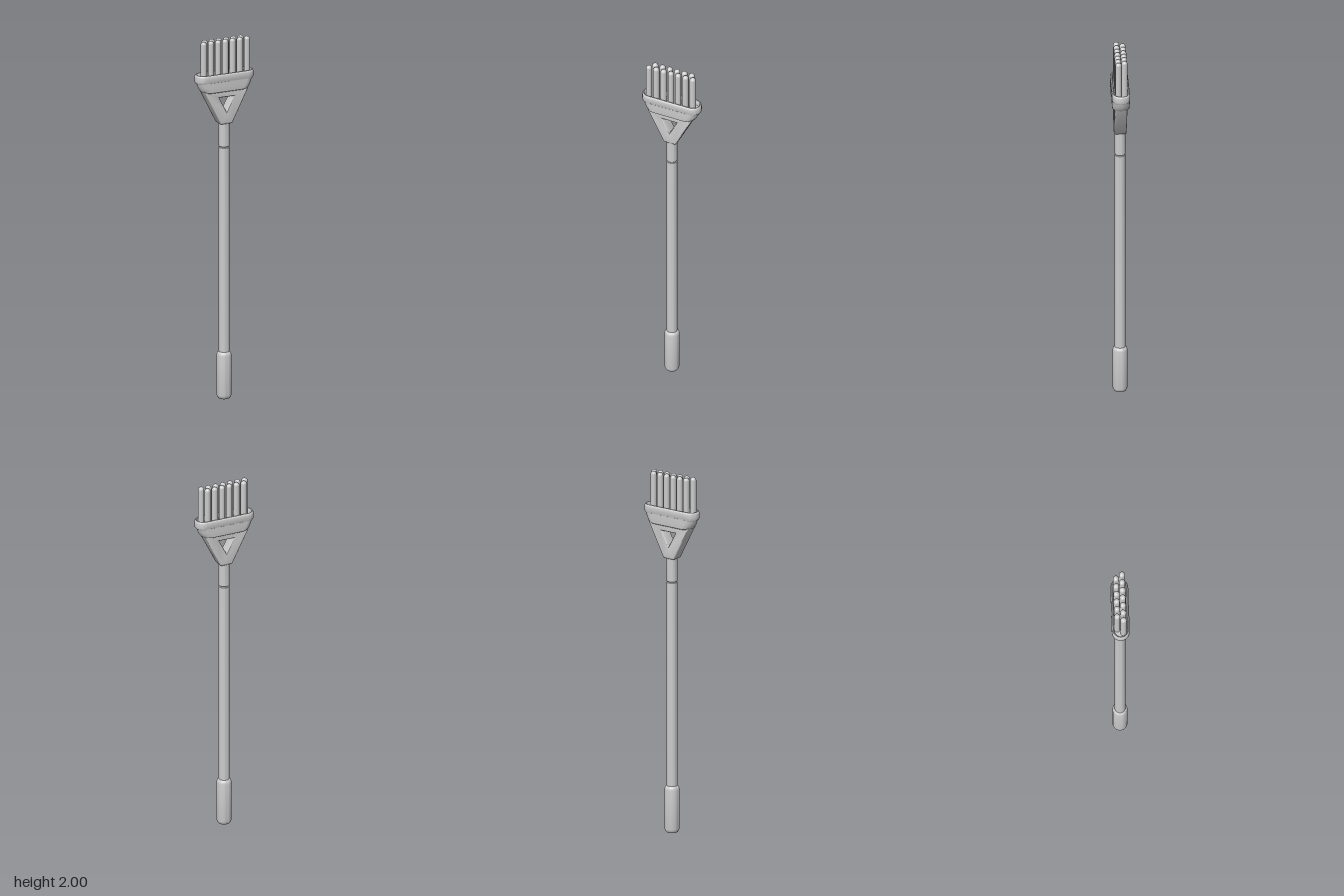
import * as THREE from 'three';
import { toCreasedNormals } from 'three/addons/utils/BufferGeometryUtils.js';

const material = new THREE.MeshStandardMaterial({ color: 0xcccccc });

function addMesh(parent, name, geometry) {
  const mesh = new THREE.Mesh(geometry, material);
  mesh.name = name;
  parent.add(mesh);
  return mesh;
}

// Turned part from [radius, height] pairs, listed bottom to top
function turned(points, segments = 32) {
  const profile = points.map(([r, y]) => new THREE.Vector2(r, y));
  return toCreasedNormals(new THREE.LatheGeometry(profile, segments), 0.6);
}

// Skin through stadium-shaped rings [halfWidth, halfDepth, y], capped at both ends
function stadiumLoft(rings, arcSteps = 14) {
  const positions = [], index = [];
  const n = 2 * (arcSteps + 1);
  for (const [w, d, y] of rings) {
    for (let k = 0; k < n; k++) {
      const side = k <= arcSteps ? 1 : -1;
      const a = ((k % (arcSteps + 1)) / arcSteps - 0.5) * Math.PI;
      positions.push(side * (w - d + d * Math.cos(a)), y, side * d * Math.sin(a));
    }
  }
  for (let i = 0; i < rings.length - 1; i++) {
    for (let k = 0; k < n; k++) {
      const a = i * n + k, b = i * n + (k + 1) % n;
      index.push(a, a + n, b, b, a + n, b + n);
    }
  }
  const last = (rings.length - 1) * n;
  for (let k = 1; k < n - 1; k++) {
    index.push(0, k, k + 1);
    index.push(last, last + k + 1, last + k);
  }
  const geometry = new THREE.BufferGeometry();
  geometry.setAttribute('position', new THREE.Float32BufferAttribute(positions, 3));
  geometry.setIndex(index);
  return toCreasedNormals(geometry, 0.6);
}

export function createModel() {
  const group = new THREE.Group();
  group.name = 'brush';

  // Grip with rounded ends and a shallow recess underneath
  addMesh(group, 'grip', turned([
    [0, 0.02], [0.02, 0.02], [0.022, 0.004], [0.026, 0], [0.032, 0.003], [0.038, 0.012], [0.04, 0.022],
    [0.04, 0.24], [0.038, 0.251], [0.034, 0.258], [0.028, 0.262], [0, 0.262],
  ]));

  // Shaft, and the socket joined to it at a fine groove
  addMesh(group, 'shaft', turned([[0, 0.25], [0.029, 0.25], [0.029, 1.396], [0.026, 1.4], [0, 1.4]]));
  addMesh(group, 'socket', turned([[0, 1.4], [0.026, 1.4], [0.029, 1.404], [0.029, 1.545], [0, 1.545]]));

  // Triangular neck with a triangular window
  const outline = new THREE.Shape();
  outline.moveTo(-0.026, 1.53);
  outline.lineTo(0.026, 1.53);
  outline.quadraticCurveTo(0.034, 1.53, 0.039, 1.539);
  outline.lineTo(0.135, 1.725);
  outline.lineTo(-0.135, 1.725);
  outline.lineTo(-0.039, 1.539);
  outline.quadraticCurveTo(-0.034, 1.53, -0.026, 1.53);
  const windowHole = new THREE.Path();
  windowHole.moveTo(0, 1.6);
  windowHole.lineTo(-0.043, 1.681);
  windowHole.lineTo(0.043, 1.681);
  windowHole.closePath();
  outline.holes.push(windowHole);
  const bevel = 0.01;
  const neck = new THREE.ExtrudeGeometry(outline, {
    depth: 0.068 - 2 * bevel, curveSegments: 6,
    bevelEnabled: true, bevelSize: bevel, bevelThickness: bevel, bevelOffset: -bevel, bevelSegments: 3,
  });
  neck.translate(0, 0, -0.034 + bevel);
  addMesh(group, 'neck', toCreasedNormals(neck, 0.6));

  // Flared lower part of the head
  addMesh(group, 'headBase', stadiumLoft([
    [0.128, 0.042, 1.714], [0.136, 0.046, 1.717], [0.146, 0.047, 1.73],
    [0.155, 0.047, 1.748], [0.162, 0.047, 1.772],
  ]));

  // Rounded rim around the recessed bristle bed
  addMesh(group, 'headRim', stadiumLoft([
    [0.166, 0.044, 1.768], [0.17, 0.047, 1.773], [0.171, 0.048, 1.78], [0.171, 0.048, 1.804],
    [0.169, 0.046, 1.811], [0.165, 0.042, 1.815], [0.161, 0.038, 1.814],
    [0.158, 0.035, 1.809], [0.157, 0.034, 1.785],
  ]));

  // Two staggered rows of round-tipped bristles
  const radius = 0.0165, pitch = 0.0432, bottom = 1.775, top = 2;
  const profile = [new THREE.Vector2(radius, bottom)];
  for (let i = 0; i <= 8; i++) {
    const a = (i / 8) * Math.PI / 2;
    profile.push(new THREE.Vector2(radius * Math.cos(a), top - radius + radius * Math.sin(a)));
  }
  const bristle = new THREE.LatheGeometry(profile, 20);
  const bristles = new THREE.Group();
  bristles.name = 'bristles';
  group.add(bristles);
  for (const [count, z] of [[7, 0.0145], [6, -0.0185]]) {
    for (let i = 0; i < count; i++) {
      addMesh(bristles, 'bristle', bristle).position.set((i - (count - 1) / 2) * pitch, 0, z);
    }
  }
  return group;
}
